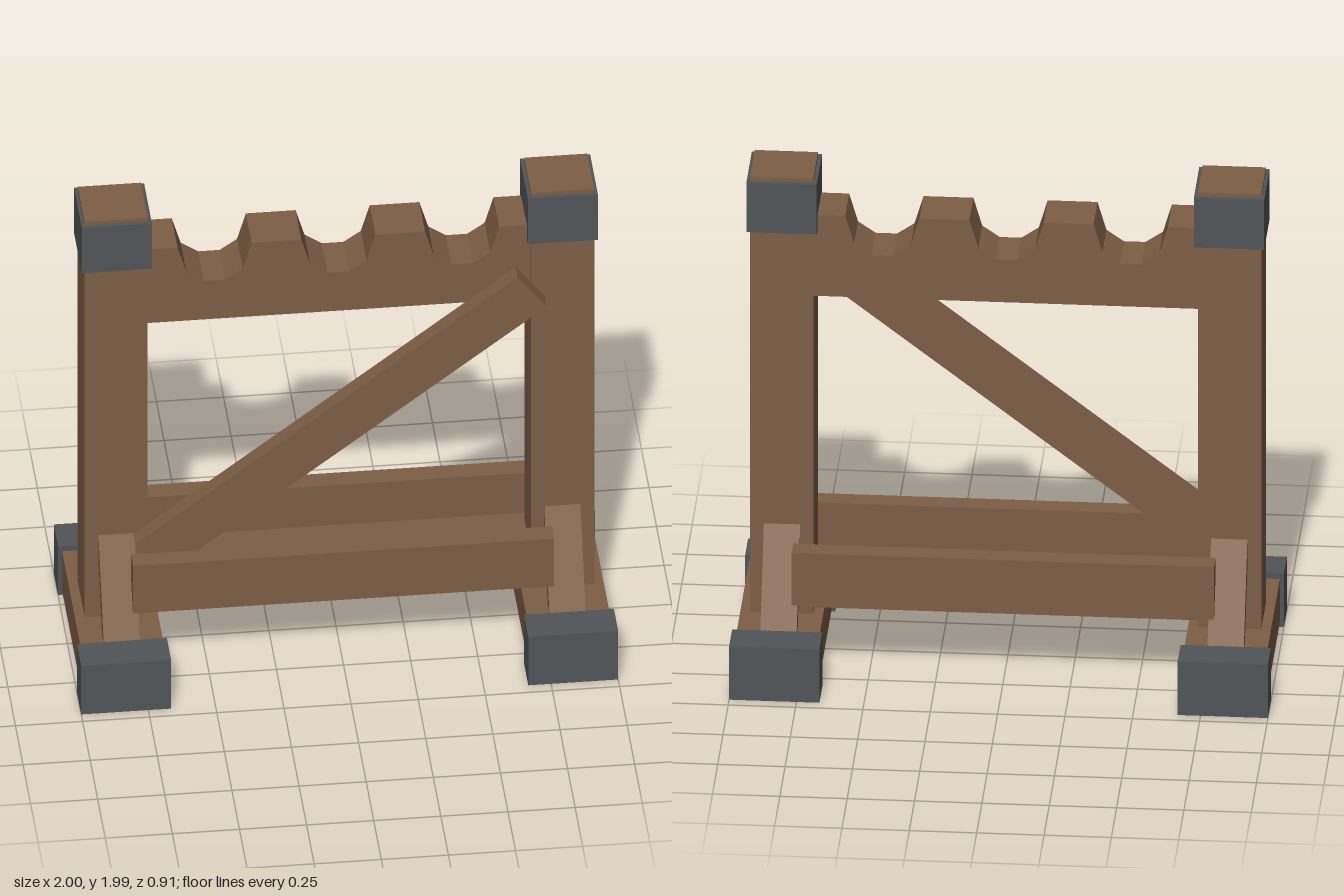
import * as THREE from 'three';

export function createModel() {
  const model = new THREE.Group();
  model.name = 'woodenRack';
  const wood = new THREE.MeshStandardMaterial({ name: 'brownWood', color: 0x7d5e44 });
  const metal = new THREE.MeshStandardMaterial({ name: 'greyMetal', color: 0x505558 });

  const add = (name, geometry, material) => {
    const mesh = new THREE.Mesh(geometry, material);
    mesh.name = name;
    model.add(mesh);
    return mesh;
  };

  // Box given by its limits on each axis
  const box = (name, material, [x0, x1], [y0, y1], [z0, z1]) => {
    const mesh = add(name, new THREE.BoxGeometry(x1 - x0, y1 - y0, z1 - z0), material);
    mesh.position.set((x0 + x1) / 2, (y0 + y1) / 2, (z0 + z1) / 2);
    return mesh;
  };

  // Flat outline given depth, centred on its own z
  const prism = (points, depth) => {
    const shape = new THREE.Shape(points.map(([x, y]) => new THREE.Vector2(x, y)));
    return new THREE.ExtrudeGeometry(shape, { depth, bevelEnabled: false }).translate(0, 0, -depth / 2);
  };

  // Slanted brace outline: distance from the middle, height
  const braceOutline = [[0.235, 0.19], [0.29, 0.19], [0.115, 0.565], [0.1, 0.565], [0.1, 0.48]];

  for (const side of [-1, 1]) {
    const label = side > 0 ? 'left' : 'right';
    const span = (a, b) => (side > 0 ? [a, b] : [-b, -a]);

    // Upright with metal collar, standing on a foot
    box(label + 'Post', wood, span(0.714, 0.949), [0.19, 1.99], [-0.114, 0.114]);
    box(label + 'PostCollar', metal, span(0.7, 0.961), [1.77, 1.975], [-0.13, 0.13]);
    box(label + 'Foot', wood, span(0.677, 0.985), [0.02, 0.197], [-0.33, 0.33]);

    for (const end of [-1, 1]) {
      const place = label + (end > 0 ? 'Front' : 'Back');
      // Metal shoe on each end of the foot
      box(place + 'Shoe', metal, span(0.665, 1), [0, 0.22], end > 0 ? [0.313, 0.455] : [-0.455, -0.313]);
      // Brace leaning against the post
      const brace = add(place + 'Brace', prism(braceOutline, 0.135), wood);
      brace.rotation.y = -end * Math.PI / 2;
      brace.position.x = side * 0.83;
    }
  }

  // Top beam with three notches
  const outline = [[-0.73, 1.5], [0.73, 1.5], [0.73, 1.833]];
  for (const c of [0.459, -0.002, -0.463]) {
    outline.push([c + 0.138, 1.833], [c + 0.105, 1.72], [c + 0.04, 1.675],
      [c - 0.04, 1.675], [c - 0.105, 1.72], [c - 0.138, 1.833]);
  }
  outline.push([-0.73, 1.833]);
  add('notchedBeam', prism(outline, 0.19), wood);

  // Lower rails
  box('frontRail', wood, [-0.784, 0.784], [0.3, 0.515], [0.175, 0.255]);
  box('backRail', wood, [-0.784, 0.784], [0.3, 0.515], [-0.255, -0.175]);
  box('middleRail', wood, [-0.763, 0.763], [0.245, 0.35], [-0.154, 0.154]);

  // Diagonal board across the front
  const diagonal = add('diagonalBoard', new THREE.BoxGeometry(1.8, 0.178, 0.067), wood);
  diagonal.position.set(-0.002, 1.039, 0.1475);
  diagonal.rotation.z = Math.atan2(1.1, 1.425);

  return model;
}
